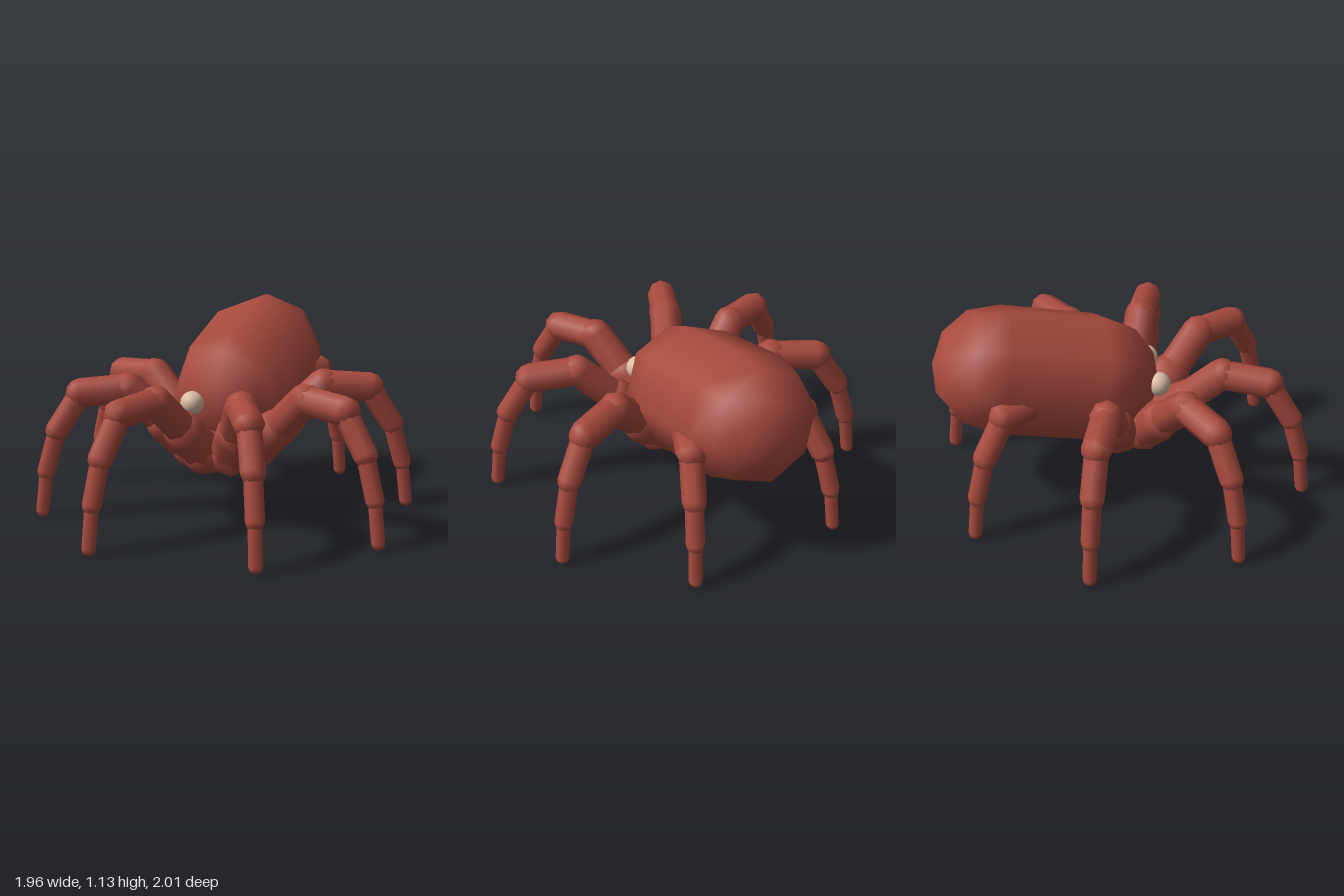
import * as THREE from 'three';

export function createModel() {
  const model = new THREE.Group();
  model.name = 'spider';

  const red = new THREE.MeshStandardMaterial({ color: 0xa84a3e });
  red.name = 'rust red';
  const cream = new THREE.MeshStandardMaterial({ color: 0xd9bba3 });
  cream.name = 'cream';

  const up = new THREE.Vector3(0, 1, 0);

  // Low-sided capsule whose cap centres sit at points a and b
  function capsule(name, a, b, radius) {
    const axis = b.clone().sub(a);
    const mesh = new THREE.Mesh(new THREE.CapsuleGeometry(radius, axis.length(), 3, 8), red);
    mesh.name = name;
    mesh.position.copy(a).add(b).multiplyScalar(0.5);
    mesh.quaternion.setFromUnitVectors(up, axis.normalize());
    return mesh;
  }

  // Abdomen, rising towards the back
  model.add(capsule('abdomen', new THREE.Vector3(0, 0.66, -0.13), new THREE.Vector3(0, 0.78, -0.65), 0.36));

  // Leg joints as [distance from the hub, height], with one radius per segment
  const joints = [[0, 0.36], [0.18, 0.38], [0.33, 0.52], [0.54, 0.72], [0.8, 0.7], [0.935, 0.49], [1.0, 0.26], [1.027, 0.037]];
  const radii = [0.125, 0.115, 0.092, 0.083, 0.065, 0.05, 0.037];
  const segments = ['coxa', 'trochanter', 'femur', 'patella', 'tibia', 'metatarsus', 'tarsus'];

  function createLeg(name, degrees) {
    const leg = new THREE.Group();
    leg.name = name;
    segments.forEach((segment, i) => {
      const a = new THREE.Vector3(...joints[i], 0);
      const b = new THREE.Vector3(...joints[i + 1], 0);
      leg.add(capsule(segment, a, b, radii[i]));
    });
    leg.position.z = 0.05;
    leg.rotation.y = THREE.MathUtils.degToRad(degrees);
    return leg;
  }

  // Four legs on each side, spread around the hub
  const spread = { front: -64.5, midFront: -23, midBack: 23, back: 64.5 };
  for (const [place, angle] of Object.entries(spread)) {
    model.add(createLeg(place + 'LegLeft', angle));
    model.add(createLeg(place + 'LegRight', 180 - angle));
  }

  // Eyes
  for (const side of [1, -1]) {
    const eye = new THREE.Mesh(new THREE.SphereGeometry(0.066, 20, 14), cream);
    eye.name = side > 0 ? 'eyeLeft' : 'eyeRight';
    eye.position.set(side * 0.145, 0.65, 0.21);
    model.add(eye);
  }

  return model;
}
